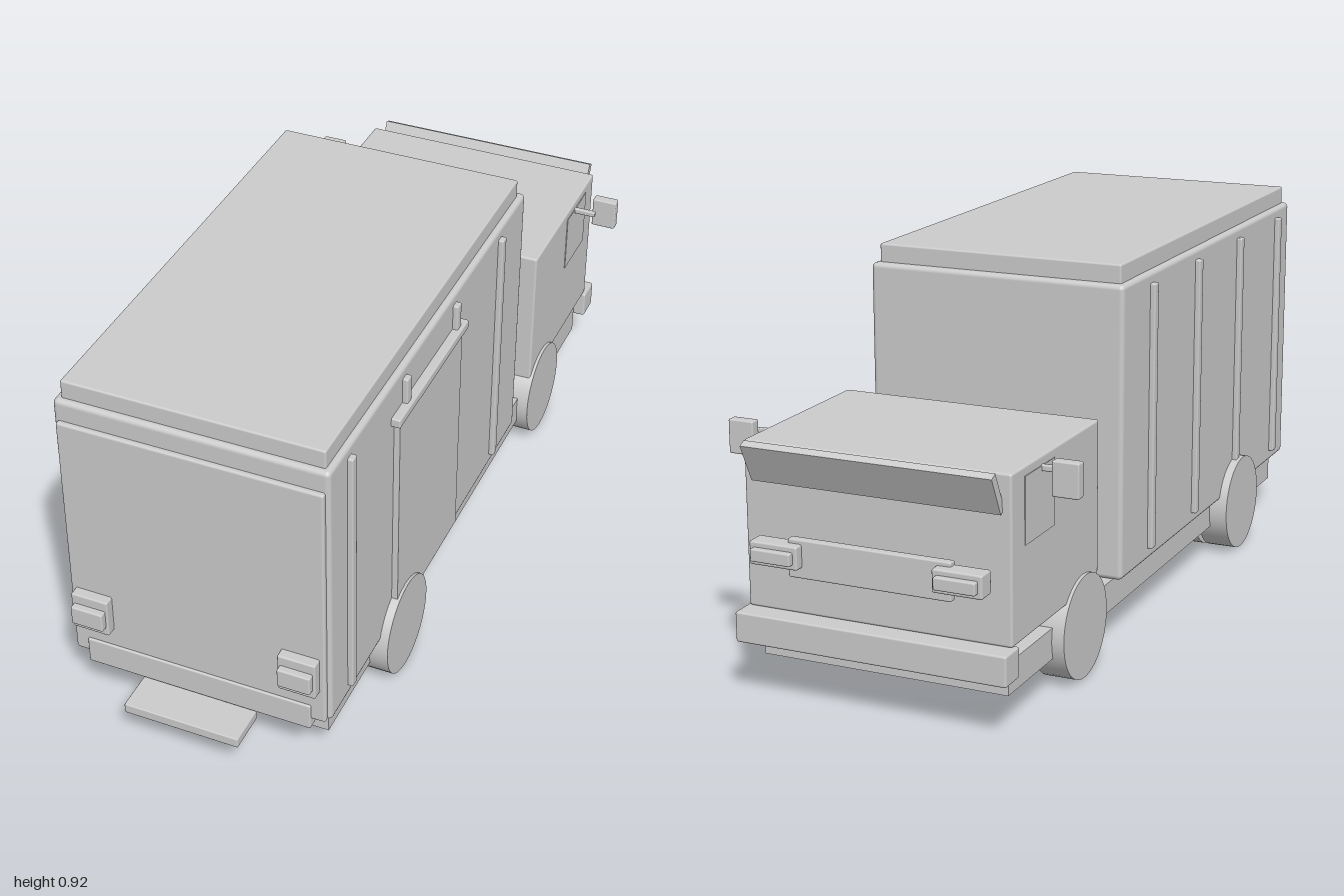
import * as THREE from 'three';
import { RoundedBoxGeometry } from 'three/addons/geometries/RoundedBoxGeometry.js';

const material = new THREE.MeshStandardMaterial({ color: 0xcccccc });

export function createModel() {
  const model = new THREE.Group();
  model.name = 'boxTruck';

  const add = (name, geometry, x, y, z) => {
    const mesh = new THREE.Mesh(geometry, material);
    mesh.name = name;
    mesh.position.set(x, y, z);
    model.add(mesh);
    return mesh;
  };
  // Box given by its limits on each axis, with an optional rounded edge
  const block = (name, [x0, x1], [y0, y1], [z0, z1], r = 0) => {
    const size = [x1 - x0, y1 - y0, z1 - z0];
    const geometry = r ? new RoundedBoxGeometry(...size, 2, r) : new THREE.BoxGeometry(...size);
    return add(name, geometry, (x0 + x1) / 2, (y0 + y1) / 2, (z0 + z1) / 2);
  };
  // The same box on both sides of the truck
  const pair = (name, [x0, x1], y, z, r) => {
    block(name + 'Left', [x0, x1], y, z, r);
    block(name + 'Right', [-x1, -x0], y, z, r);
  };

  // Chassis and cargo body
  block('chassis', [-0.305, 0.305], [0.085, 0.16], [-0.9, 0.85]);
  block('cargoBody', [-0.33, 0.33], [0.16, 0.88], [-0.32, 0.89], 0.012);
  block('roofPanel', [-0.315, 0.315], [0.875, 0.925], [-0.3, 0.875], 0.005);
  block('rearDoor', [-0.32, 0.32], [0.162, 0.827], [0.87, 0.902], 0.006);

  // Vertical ribs along both sides
  for (const z of [0.785, 0.475, 0.165, -0.14]) {
    pair('sideRib', [0.32, 0.343], [0.19, 0.853], [z - 0.012, z + 0.012], 0.004);
  }

  // Sliding door with its rail
  block('slidingDoor', [0.32, 0.345], [0.185, 0.765], [0.15, 0.535]);
  block('slidingDoorRail', [0.325, 0.352], [0.765, 0.788], [0.125, 0.552], 0.004);

  // Rear bumper, step and lights
  block('rearBumper', [-0.285, 0.285], [0.135, 0.205], [0.87, 0.908], 0.004);
  block('rearStep', [-0.145, 0.145], [0.104, 0.13], [0.895, 1], 0.003);
  pair('tailLight', [0.214, 0.307], [0.254, 0.354], [0.89, 0.927], 0.004);
  pair('tailLightLens', [0.22, 0.301], [0.278, 0.328], [0.915, 0.944], 0.004);

  // Cab with side windows
  block('cab', [-0.327, 0.327], [0.207, 0.597], [-0.925, -0.455], 0.006);
  pair('sideWindow', [0.31, 0.329], [0.42, 0.575], [-0.86, -0.705]);

  // Sun visor leaning forward at the top
  const visor = add('sunVisor', new THREE.BoxGeometry(0.61, 0.1, 0.02), 0, 0.556, -0.945);
  visor.rotation.x = -0.45;

  // Grille, headlights and front bumper
  block('grille', [-0.2, 0.2], [0.305, 0.395], [-0.962, -0.94], 0.004);
  pair('headlight', [0.165, 0.285], [0.33, 0.385], [-0.985, -0.938], 0.005);
  pair('headlightLens', [0.175, 0.275], [0.342, 0.372], [-1, -0.975], 0.004);
  block('frontBumper', [-0.335, 0.335], [0.135, 0.207], [-0.975, -0.905], 0.005);

  // Mirrors on thin arms
  pair('mirrorArm', [0.32, 0.385], [0.563, 0.577], [-0.776, -0.763], 0.003);
  pair('mirror', [0.37, 0.434], [0.522, 0.603], [-0.817, -0.79], 0.004);

  // Single front wheels and twin rear wheels
  const wheel = (name, x0, x1, z) => {
    for (const side of [1, -1]) {
      const geometry = new THREE.CylinderGeometry(0.125, 0.125, x1 - x0, 40).rotateZ(Math.PI / 2);
      add(name + (side > 0 ? 'Left' : 'Right'), geometry, side * (x0 + x1) / 2, 0.127, z);
    }
  };
  wheel('frontWheel', 0.258, 0.335, -0.545);
  wheel('rearOuterWheel', 0.274, 0.352, 0.487);
  wheel('rearInnerWheel', 0.185, 0.262, 0.487);
  pair('rearHub', [0.255, 0.28], [0.08, 0.174], [0.44, 0.534]);

  // Stand on the ground
  model.position.y = -0.002;
  return model;
}
